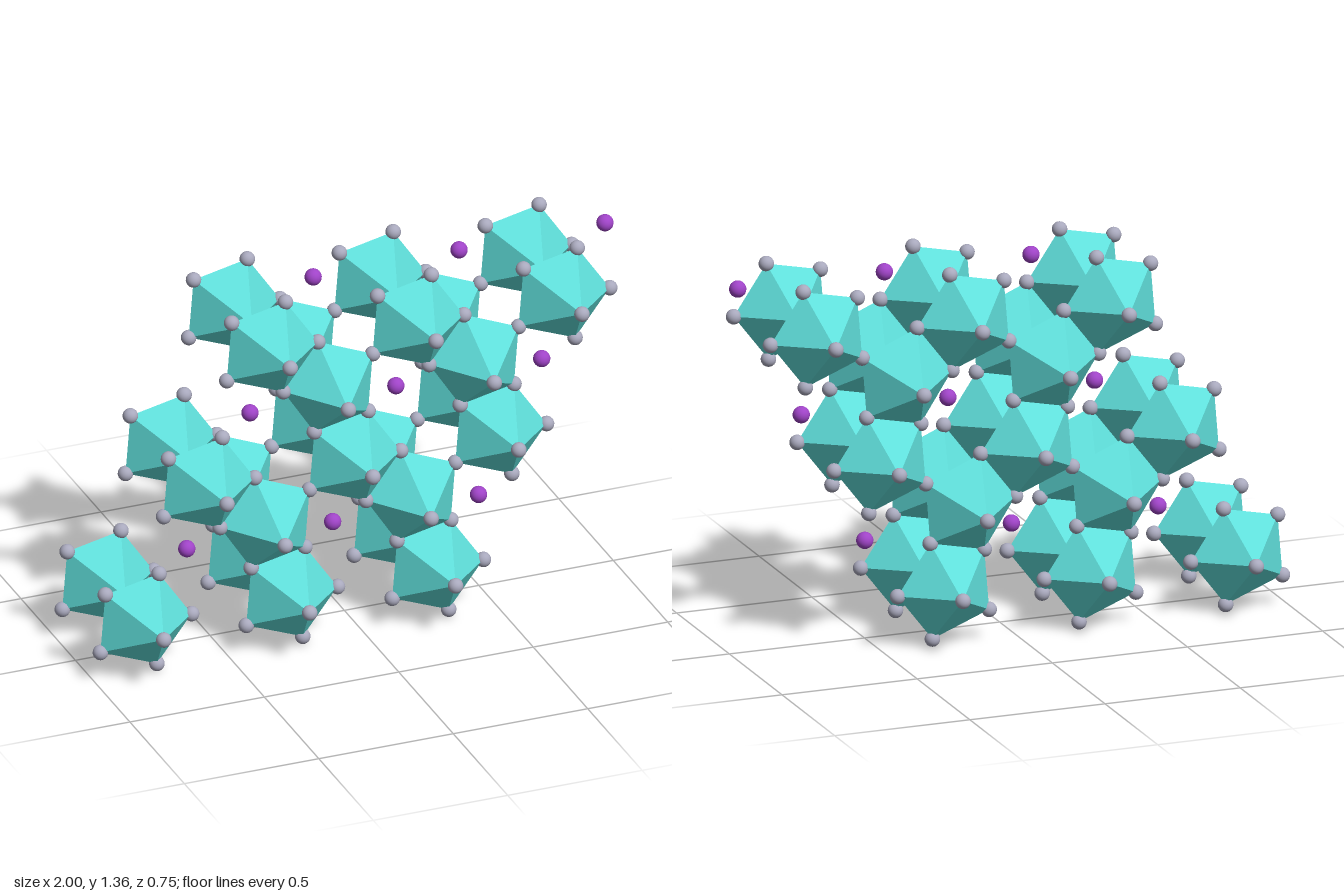
import * as THREE from 'three';

const A = [0.5425, 0];            // lattice step along x
const B = [0.235, 0.4815];        // lattice step up the slanted axis
const ORIGIN = [-0.813, 0.213];   // centre of the first polyhedron
const LAYER = 0.175;              // half height of a bipyramid, z of each layer

// counter-clockwise corners of the main pentagon, relative to its centre
const RING = [[-0.165, -0.1], [0.045, -0.183], [0.174, -0.015], [0.053, 0.163], [-0.147, 0.12]];
const shift = (p, i, j) => [p[0] + i * A[0] + j * B[0], p[1] + i * A[1] + j * B[1]];
// linking pentagon: shares its corners with three neighbouring main pentagons
const LINK_CENTRE = [-0.091, 0.278];
const LINK_RING = [
  RING[4], RING[3], shift(RING[0], 0, 1), shift(RING[2], -1, 1), shift(RING[1], -1, 1),
].map(([x, y]) => [x - LINK_CENTRE[0], y - LINK_CENTRE[1]]);

// pentagonal bipyramid with its apexes along z
function bipyramid(ring) {
  const pos = [];
  ring.forEach((p, k) => {
    const q = ring[(k + 1) % ring.length];
    pos.push(...p, 0, ...q, 0, 0, 0, LAYER);
    pos.push(...q, 0, ...p, 0, 0, 0, -LAYER);
  });
  const geo = new THREE.BufferGeometry();
  geo.setAttribute('position', new THREE.Float32BufferAttribute(pos, 3));
  geo.computeVertexNormals();
  return geo;
}

export function createModel() {
  const model = new THREE.Group();
  model.name = 'crystalLattice';
  const teal = new THREE.MeshStandardMaterial({ color: 0x5fdeda, flatShading: true });
  const grey = new THREE.MeshStandardMaterial({ color: 0xa9a9bd });
  const purple = new THREE.MeshStandardMaterial({ color: 0xa044c8 });
  const mainGeo = bipyramid(RING);
  const linkGeo = bipyramid(LINK_RING);
  const cornerGeo = new THREE.SphereGeometry(0.027, 20, 14);
  const ionGeo = new THREE.SphereGeometry(0.03, 20, 14);

  const add = (name, geo, mat, x, y, z) => {
    const mesh = new THREE.Mesh(geo, mat);
    mesh.name = name;
    mesh.position.set(x, y, z);
    model.add(mesh);
  };

  // apex atoms are shared between the two layers
  const column = (name, geo, [x, y]) => {
    for (const z of [LAYER, -LAYER]) add(name, geo, teal, x, y, z);
    for (const z of [2 * LAYER, 0, -2 * LAYER]) add('apexAtom', cornerGeo, grey, x, y, z);
  };

  for (let j = 0; j < 3; j++) {
    for (let i = 0; i < 3; i++) {
      const c = shift(ORIGIN, i, j);
      column('mainPolyhedron', mainGeo, c);
      for (const [dx, dy] of RING) {
        for (const z of [LAYER, -LAYER]) add('ringAtom', cornerGeo, grey, c[0] + dx, c[1] + dy, z);
      }
      // loose ion in the channel beside each main polyhedron
      add('channelIon', ionGeo, purple, c[0] + 0.227, c[1] + 0.143, 0);
      // linking polyhedra bridge neighbouring rows
      if (i > 0 && j < 2) {
        column('linkPolyhedron', linkGeo, [c[0] + LINK_CENTRE[0], c[1] + LINK_CENTRE[1]]);
      }
    }
  }
  return model;
}
